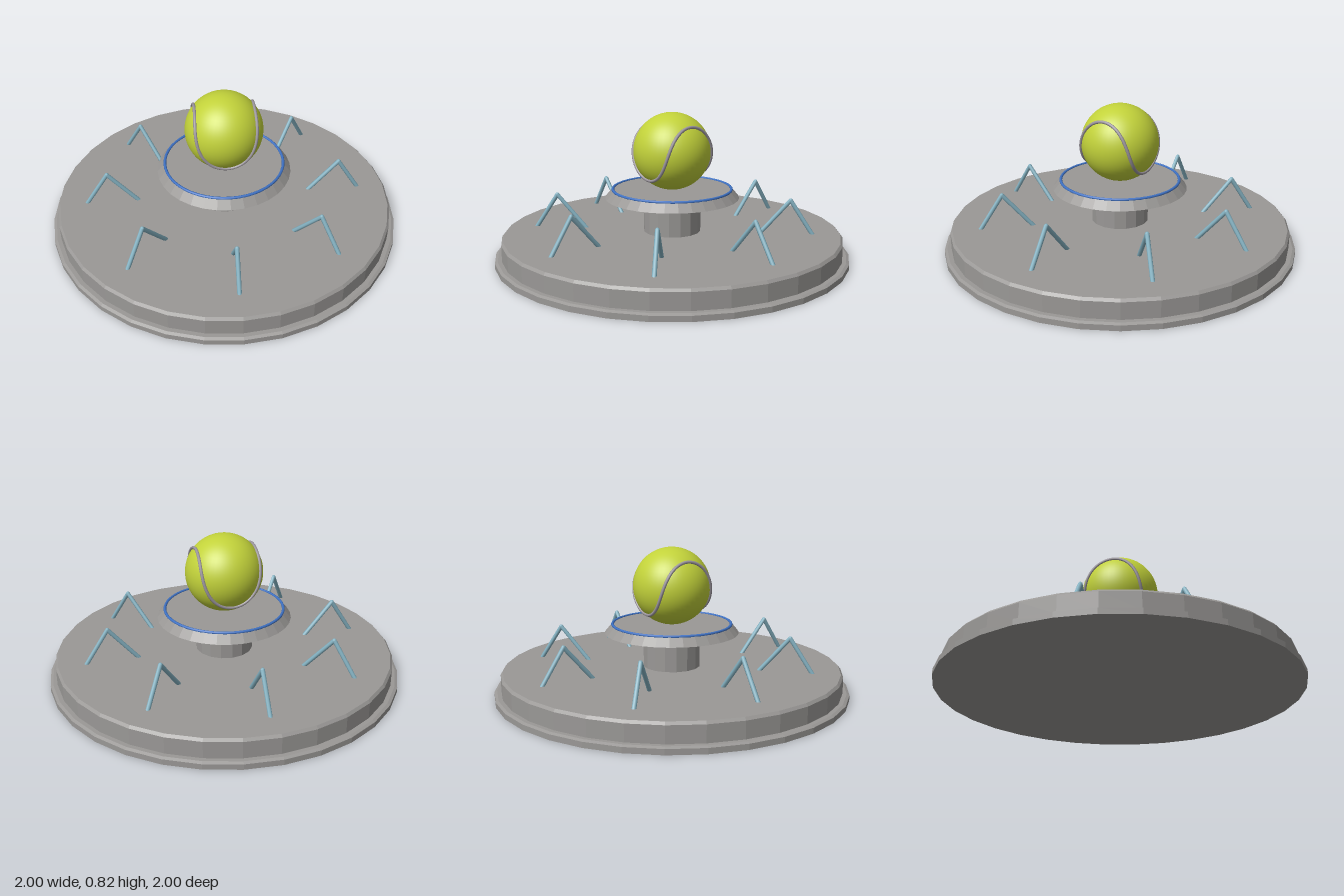
import * as THREE from 'three';

const paint = (name, color) => {
  const m = new THREE.MeshStandardMaterial({ color });
  m.name = name;
  return m;
};

export function createModel() {
  const stone = paint('stone grey', 0x9a9896);
  const blue = paint('rim blue', 0x3f72c4);
  const steel = paint('steel blue', 0x86b4c4);
  const felt = paint('ball yellow green', 0xc2d23a);
  const seamGrey = paint('seam grey', 0x9c969e);

  const model = new THREE.Group();
  model.name = 'ballOnPedestal';
  const add = (name, geometry, material, parent = model) => {
    const mesh = new THREE.Mesh(geometry, material);
    mesh.name = name;
    parent.add(mesh);
    return mesh;
  };

  // Faceted solid of revolution, profile runs from bottom to top
  const faceted = (profile, sides) => {
    const points = profile.map(([r, y]) => new THREE.Vector2(r, y));
    const g = new THREE.LatheGeometry(points, sides).toNonIndexed();
    g.computeVertexNormals();
    return g;
  };

  // Round base with a lip and a chamfered top edge
  add('base', faceted([
    [0, 0], [1, 0], [1, 0.03], [0.985, 0.037], [0.962, 0.037],
    [0.962, 0.128], [0.95, 0.142], [0, 0.142],
  ], 32), stone);

  // Stem and the bevelled plate on it
  add('stem', faceted([[0.162, 0.14], [0.162, 0.345]], 16), stone);
  add('plate', faceted([[0, 0.338], [0.38, 0.338], [0.34, 0.386], [0, 0.386]], 32), stone);

  // Blue rim around the plate top
  const rim = add('plateRim', new THREE.TorusGeometry(0.336, 0.008, 8, 48), blue);
  rim.rotation.x = Math.PI / 2;
  rim.position.y = 0.386;

  // Ball
  const radius = 0.218, centreY = 0.602;
  add('ball', new THREE.SphereGeometry(radius, 48, 32), felt).position.y = centreY;

  // Wavy seam, a closed curve lying on the ball
  const b = 0.134, a = 1 - b, c = 2 * Math.sqrt(a * b), seamPoints = [];
  for (let i = 0; i < 64; i++) {
    const t = (i / 64) * Math.PI * 2;
    seamPoints.push(new THREE.Vector3(
      a * Math.cos(t) + b * Math.cos(3 * t),
      c * Math.sin(2 * t),
      a * Math.sin(t) - b * Math.sin(3 * t),
    ).multiplyScalar(radius + 0.003));
  }
  const seamCurve = new THREE.CatmullRomCurve3(seamPoints, true);
  add('ballSeam', new THREE.TubeGeometry(seamCurve, 160, 0.009, 8, true), seamGrey)
    .position.y = centreY;

  // Eight bent rods standing radially on the base
  const rodRadius = 0.012;
  const apex = new THREE.Vector3(0.668, 0.333, 0);
  const feet = [new THREE.Vector3(0.498, 0.135, 0), new THREE.Vector3(0.797, 0.135, 0)];
  for (let i = 0; i < 8; i++) {
    const rod = new THREE.Group();
    rod.name = 'bentRod' + (i + 1);
    rod.rotation.y = (i * Math.PI) / 4;
    for (const foot of feet) {
      const leg = new THREE.LineCurve3(foot, apex);
      add('rodLeg', new THREE.TubeGeometry(leg, 1, rodRadius, 8), steel, rod);
    }
    add('rodTip', new THREE.SphereGeometry(rodRadius, 8, 6), steel, rod).position.copy(apex);
    model.add(rod);
  }

  return model;
}
